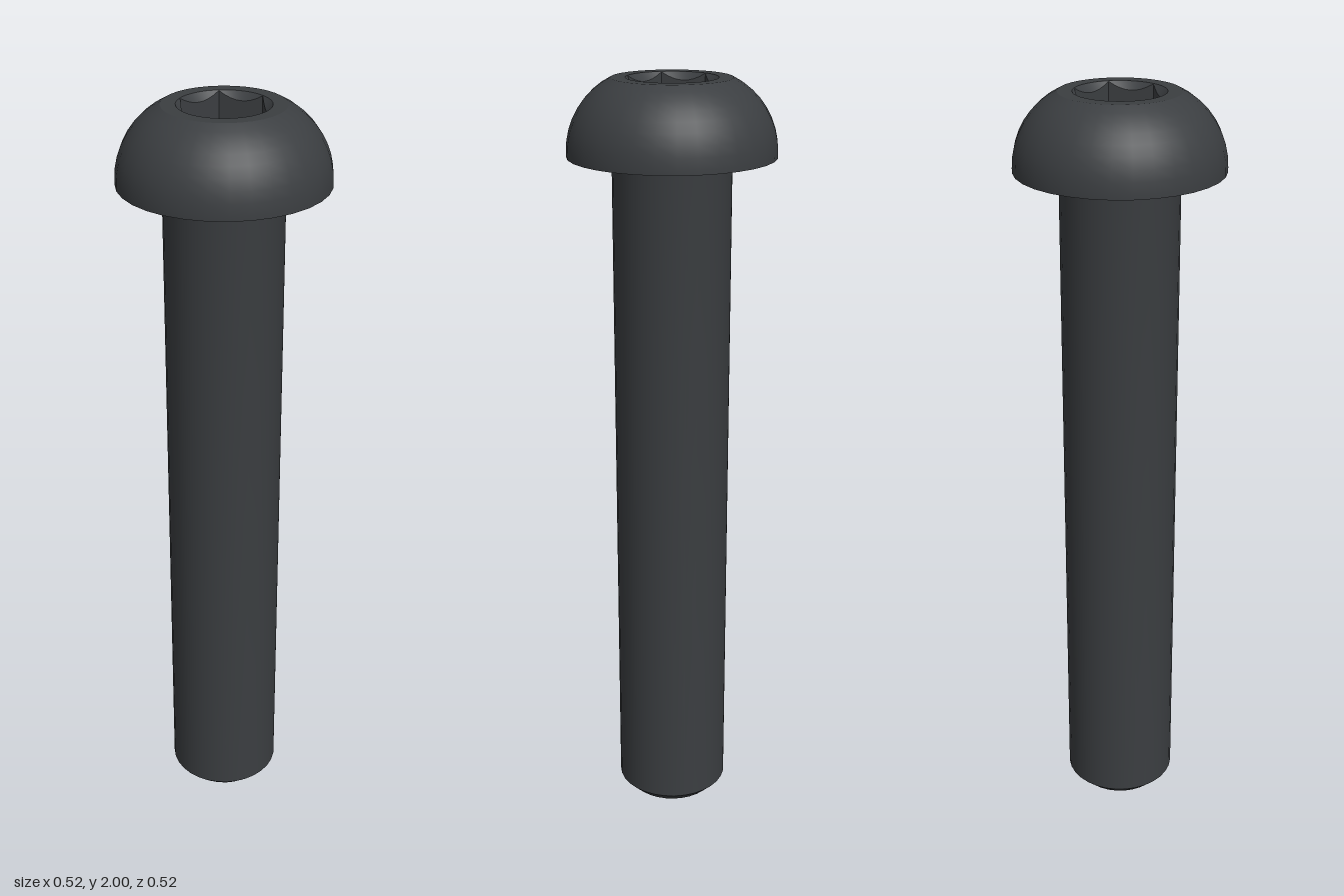
import * as THREE from 'three';
import { toCreasedNormals } from 'three/addons/utils/BufferGeometryUtils.js';

const SIDES = 32;
const SHAFT_R = 0.15, HEAD_R = 0.262, HEAD_Y = 1.81, TOP_Y = 2;
const RIM_R = 0.15, SOCKET_R = 0.114, HEX_APOTHEM = 0.098, SOCKET_DEPTH = 0.11;

const material = new THREE.MeshStandardMaterial({ color: 0x3b3e41 });

function part(name, geometry) {
  const mesh = new THREE.Mesh(toCreasedNormals(geometry, 0.4), material);
  mesh.name = name;
  return mesh;
}

function lathe(points, sides = SIDES) {
  return new THREE.LatheGeometry(points.map(([r, y]) => new THREE.Vector2(r, y)), sides);
}

// Points along a circular arc in the profile plane
function arc(cx, cy, radius, from, to, steps) {
  return Array.from({ length: steps + 1 }, (_, i) => {
    const a = from + (to - from) * i / steps;
    return [cx + radius * Math.cos(a), cy + radius * Math.sin(a)];
  });
}

// Shaft with chamfered tip and a small fillet under the head
function createShaft() {
  const f = 0.012;
  return part('shaft', lathe([
    [0, 0], [0.12, 0], [SHAFT_R, 0.03],
    ...arc(SHAFT_R + f, HEAD_Y - f, f, Math.PI, Math.PI / 2, 5),
  ]));
}

// Domed head: flat underside, short straight edge, then a round flank
function createHead() {
  const y0 = HEAD_Y + 0.012, w = HEAD_R - RIM_R, h = TOP_Y - y0;
  const radius = (w * w + h * h) / (2 * w);
  const end = Math.asin(h / radius);
  return part('head', lathe([
    [SHAFT_R, HEAD_Y], [HEAD_R, HEAD_Y],
    ...arc(HEAD_R - radius, y0, radius, 0, end, 8),
  ]));
}

// Flat ring around the socket
function createRim() {
  const outline = Array.from({ length: SIDES }, (_, i) => {
    const a = i / SIDES * Math.PI * 2;
    return new THREE.Vector2(RIM_R * Math.cos(a), RIM_R * Math.sin(a));
  });
  const shape = new THREE.Shape(outline);
  shape.holes.push(new THREE.Path().absarc(0, 0, SOCKET_R, 0, Math.PI * 2, true));
  const geometry = new THREE.ShapeGeometry(shape, 24);
  geometry.rotateX(-Math.PI / 2).translate(0, TOP_Y, 0);
  return part('headRim', geometry);
}

// Hexagonal socket: a round countersink that meets six flat walls
function createSocket() {
  const floorY = TOP_Y - SOCKET_DEPTH;
  const geometry = lathe([[SOCKET_R, TOP_Y], [0.1, TOP_Y - 0.01], [0.1, floorY], [0, floorY]], 48);
  const pos = geometry.attributes.position;
  const sector = Math.PI / 3;
  for (let i = 0; i < pos.count; i++) {
    const ring = i % 4;
    if (ring !== 1 && ring !== 2) continue;
    const a = Math.floor(i / 4) / 48 * Math.PI * 2;
    const r = HEX_APOTHEM / Math.cos(((a + sector / 2) % sector) - sector / 2);
    const y = ring === 1 ? TOP_Y - (SOCKET_R - r) * 1.2 : floorY;
    pos.setXYZ(i, r * Math.sin(a), y, r * Math.cos(a));
  }
  return part('hexSocket', geometry);
}

export function createModel() {
  const model = new THREE.Group();
  model.name = 'buttonHeadBolt';
  model.add(createShaft(), createHead(), createRim(), createSocket());
  return model;
}
